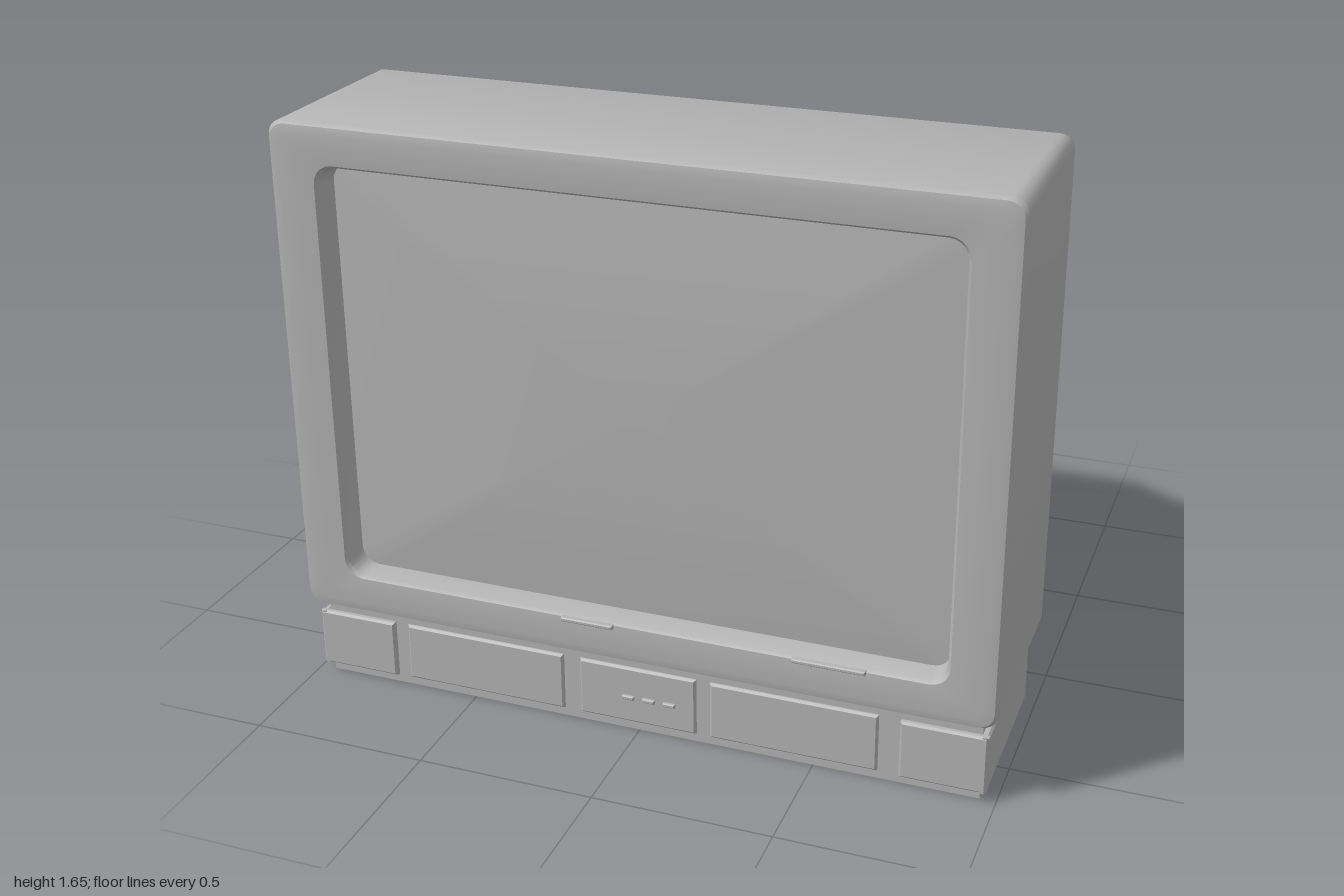
import * as THREE from 'three';
import { toCreasedNormals } from 'three/addons/utils/BufferGeometryUtils.js';

const plastic = new THREE.MeshStandardMaterial({ color: 0xb4b4b4 });
plastic.name = 'grey plastic';
const thinPlastic = plastic.clone();
thinPlastic.side = THREE.DoubleSide;

function add(parent, name, geometry, x = 0, y = 0, z = 0, material = plastic) {
  const mesh = new THREE.Mesh(geometry, material);
  mesh.name = name;
  mesh.position.set(x, y, z);
  parent.add(mesh);
  return mesh;
}

// Rounded rectangle ring, anticlockwise seen from the front
function ring([z, hx, y0, y1, r]) {
  const pts = [], steps = 5;
  const centres = [[hx - r, y1 - r], [-hx + r, y1 - r], [-hx + r, y0 + r], [hx - r, y0 + r]];
  centres.forEach(([cx, cy], q) => {
    for (let i = 0; i <= steps; i++) {
      const a = (q + i / steps) * Math.PI / 2;
      pts.push([cx + r * Math.cos(a), cy + r * Math.sin(a), z]);
    }
  });
  return pts;
}

// Skin joining a chain of rings
function loft(sections, crease = 0.6) {
  const rings = sections.map(ring), n = rings[0].length, index = [];
  for (let i = 0; i < rings.length - 1; i++) {
    for (let j = 0; j < n; j++) {
      const k = (j + 1) % n, a = i * n, b = a + n;
      index.push(a + j, b + j, b + k, a + j, b + k, a + k);
    }
  }
  const g = new THREE.BufferGeometry();
  g.setAttribute('position', new THREE.Float32BufferAttribute(rings.flat(2), 3));
  g.setIndex(index);
  return toCreasedNormals(g, crease);
}

// Plate with a small bevel, its back at z = 0
function plate(w, h, d, bevel = 0.006) {
  const x = w / 2 - bevel, y = h / 2 - bevel;
  const s = new THREE.Shape([[-x, -y], [x, -y], [x, y], [-x, y]].map(p => new THREE.Vector2(...p)));
  const g = new THREE.ExtrudeGeometry(s, { depth: d - 2 * bevel, bevelSize: bevel, bevelThickness: bevel, bevelSegments: 1 });
  return g.translate(0, 0, bevel);
}

// Upright wall along plan points [x, z, top height]
function wall(path) {
  const pos = [];
  for (let i = 0; i < path.length - 1; i++) {
    const [x, z, t] = path[i], [u, w, s] = path[i + 1];
    pos.push(x, 0, z, u, 0, w, u, s, w, x, 0, z, u, s, w, x, t, z);
  }
  const g = new THREE.BufferGeometry();
  g.setAttribute('position', new THREE.Float32BufferAttribute(pos, 3));
  g.computeVertexNormals();
  return g;
}

export function createModel() {
  const model = new THREE.Group();
  model.name = 'television';

  // Gently bulging picture tube face
  const screen = [0.001, 0.25, 0.5, 0.75, 1].map(t =>
    [0.655 - 0.03 * t * t, 0.855 * t, 0.942 - 0.59 * t, 0.942 + 0.59 * t, 0.05 * t]);
  add(model, 'screen', loft(screen));

  // Cabinet: bezel, deep front box, waist, tapered tube housing, rear recess
  add(model, 'cabinet', loft([
    [0.625, 0.855, 0.352, 1.532, 0.05],
    [0.69, 0.862, 0.347, 1.538, 0.05],
    [0.7, 0.87, 0.34, 1.545, 0.055],
    [0.708, 0.965, 0.265, 1.625, 0.045],
    [0.703, 0.99, 0.242, 1.647, 0.045],
    [0.69, 0.998, 0.235, 1.655, 0.045],
    [0.14, 0.998, 0.235, 1.655, 0.04],
    [0.123, 0.99, 0.238, 1.647, 0.04],
    [0.108, 0.972, 0.245, 1.625, 0.04],
    [0.012, 0.802, 0.284, 1.435, 0.035],
    [-0.005, 0.79, 0.289, 1.421, 0.035],
    [-0.19, 0.787, 0.292, 1.425, 0.035],
    [-0.205, 0.782, 0.296, 1.421, 0.035],
    [-0.22, 0.77, 0.305, 1.412, 0.035],
    [-0.7, 0.388, 0.588, 1.134, 0.025],
    [-0.715, 0.373, 0.6, 1.12, 0.025],
    [-0.72, 0.36, 0.612, 1.108, 0.02],
    [-0.718, 0.345, 0.625, 1.095, 0.02],
    [-0.66, 0.235, 0.69, 1.03, 0.01],
    [-0.66, 0.001, 0.859, 0.861, 0.0005],
  ]));

  // Small catches on the lower bezel edge
  add(model, 'bezelCatch', plate(0.15, 0.012, 0.02, 0.003), -0.13, 0.338, 0.695);
  add(model, 'bezelCatch', plate(0.2, 0.012, 0.02, 0.003), 0.55, 0.342, 0.695);

  // Open-bottomed plinth
  const half = [[0.45, -0.52, 0.5], [0.782, -0.2, 0.33], [0.782, 0, 0.32], [0.955, 0.155, 0.25], [0.955, 0.66, 0.25]];
  const mirrored = half.map(([x, z, t]) => [-x, z, t]).reverse();
  add(model, 'plinthWall', wall([...mirrored, ...half].reverse()), 0, 0, 0, thinPlastic);
  add(model, 'plinthFront', wall([[-0.955, 0.66, 0.25], [0.955, 0.66, 0.25]]), 0, 0, 0, thinPlastic);

  // Rear frame around the connector panel
  const rear = new THREE.Group();
  rear.name = 'connectorPanel';
  model.add(rear);
  const frame = [[0, 0.03, 0.9, 0.03], [0, 0.395, 0.9, 0.18],
    [-0.425, 0.165, 0.05, 0.29], [0.425, 0.165, 0.05, 0.29]];
  frame[0][1] = 0.015;
  for (const [x, y, w, h] of frame) add(rear, 'rearFrame', new THREE.BoxGeometry(w, h, 0.02), x, y, -0.512);
  add(rear, 'rearPanel', new THREE.BoxGeometry(0.81, 0.29, 0.008), 0, 0.165, -0.5);

  // Sockets and adjusting knob
  const sockets = [[-0.01, 0.2], [-0.01, 0.105]];
  for (const x of [0.255, 0.16]) for (const y of [0.23, 0.152, 0.075]) sockets.push([x, y]);
  const peg = (r, len) => new THREE.CylinderGeometry(r * 0.75, r, len, 10).rotateX(-Math.PI / 2);
  for (const [x, y] of sockets) add(rear, 'socket', peg(0.024, 0.028), x, y, -0.516);
  add(rear, 'knob', peg(0.036, 0.036), -0.21, 0.195, -0.52);

  // Front doors and control panel
  for (const [x0, x1] of [[-0.7, -0.22], [-0.17, 0.17], [0.21, 0.68]]) {
    add(model, 'frontPanel', plate(x1 - x0, 0.17, 0.016), (x0 + x1) / 2, 0.115, 0.66);
  }
  for (const x of [-0.025, 0.035, 0.095]) {
    add(model, 'button', plate(0.035, 0.012, 0.012, 0.003), x, 0.11, 0.674);
  }

  // Speaker panels wrapping each front corner
  for (const s of [-1, 1]) {
    add(model, 'cornerPanelFront', plate(0.235, 0.17, 0.022), s * 0.8575, 0.115, 0.66);
    add(model, 'cornerPanelSide', plate(0.5, 0.17, 0.022), s * 0.953, 0.115, 0.431).rotation.y = s * Math.PI / 2;
  }
  return model;
}
